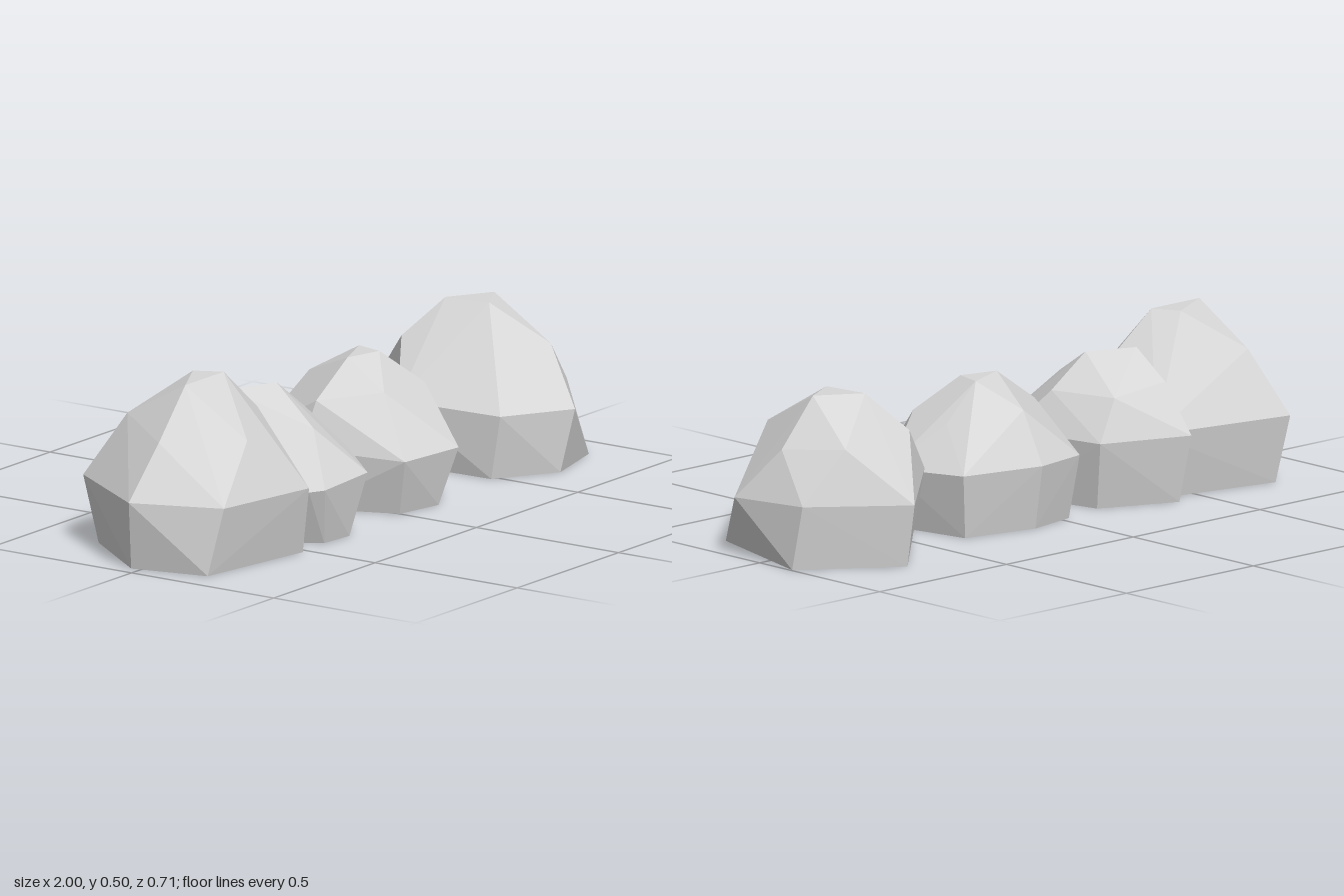
import * as THREE from 'three';
import { ConvexGeometry } from 'three/addons/geometries/ConvexGeometry.js';

const stone = new THREE.MeshStandardMaterial({ color: 0xd6d6d6, flatShading: true });
stone.name = 'light grey stone';

// Each boulder is a faceted hull over four rings: [x, y, z] corners
const boulders = {
  largeBoulder: {
    base: [[-0.96, 0, -0.03], [-0.905, 0, 0.2], [-0.52, 0, 0.26], [-0.4, 0, 0.08], [-0.4, 0, -0.2], [-0.77, 0, -0.28]],
    waist: [[-1, 0.205, -0.01], [-0.88, 0.2, 0.24], [-0.545, 0.2, 0.3], [-0.37, 0.2, 0.1], [-0.345, 0.2, -0.23], [-0.79, 0.2, -0.32]],
    shoulder: [[-0.88, 0.36, 0.01], [-0.71, 0.36, 0.2], [-0.42, 0.375, 0.03], [-0.73, 0.387, -0.207]],
    crown: [[-0.735, 0.5, 0], [-0.545, 0.5, 0], [-0.585, 0.5, -0.08]],
  },
  smallBoulder: {
    base: [[-0.4, 0, 0.25], [-0.29, 0, 0.26], [-0.11, 0, 0.1], [-0.17, 0, -0.17], [-0.4, 0, -0.27], [-0.55, 0, 0]],
    waist: [[-0.475, 0.165, 0.25], [-0.445, 0.17, 0.285], [-0.235, 0.18, 0.285], [-0.08, 0.2, 0.1], [-0.145, 0.2, -0.21], [-0.41, 0.2, -0.31], [-0.6, 0.2, 0]],
    shoulder: [[-0.355, 0.32, 0.18], [-0.16, 0.32, 0.01], [-0.22, 0.32, -0.19], [-0.41, 0.34, -0.2]],
    crown: [[-0.43, 0.415, -0.06], [-0.285, 0.415, 0]],
  },
  middleBoulder: {
    base: [[-0.1, 0, -0.02], [0, 0, 0.23], [0.15, 0, 0.26], [0.405, 0, 0.05], [0.36, 0, -0.18], [0.13, 0, -0.23], [-0.03, 0, -0.2]],
    waist: [[-0.125, 0.18, -0.03], [-0.03, 0.165, 0.27], [0.2, 0.165, 0.295], [0.445, 0.18, 0.05], [0.39, 0.19, -0.205], [0.135, 0.19, -0.265], [-0.04, 0.19, -0.235]],
    shoulder: [[-0.075, 0.315, -0.01], [0.05, 0.335, 0.14], [0.28, 0.315, 0.12], [0.31, 0.305, -0.05], [0.13, 0.34, -0.18]],
    crown: [[0.065, 0.415, 0], [0.18, 0.415, 0.03], [0.2, 0.415, -0.055]],
  },
  endBoulder: {
    base: [[0.48, 0, 0.21], [0.66, 0, 0.325], [0.88, 0, 0.268], [0.995, 0, -0.13], [0.725, 0, -0.325], [0.47, 0, -0.07]],
    waist: [[0.425, 0.2, -0.08], [0.475, 0.19, 0.245], [0.69, 0.185, 0.355], [1, 0.175, 0.105], [0.99, 0.19, -0.168], [0.725, 0.185, -0.355]],
    shoulder: [[0.76, 0.345, 0.22], [0.93, 0.325, -0.018], [0.86, 0.345, -0.21], [0.57, 0.35, -0.17]],
    crown: [[0.66, 0.458, -0.08], [0.79, 0.458, 0], [0.68, 0.458, 0.06]],
  },
};

export function createModel() {
  const row = new THREE.Group();
  row.name = 'boulderRow';
  for (const [name, rings] of Object.entries(boulders)) {
    const corners = Object.values(rings).flat().map((p) => new THREE.Vector3(...p));
    const boulder = new THREE.Mesh(new ConvexGeometry(corners), stone);
    boulder.name = name;
    row.add(boulder);
  }
  return row;
}
